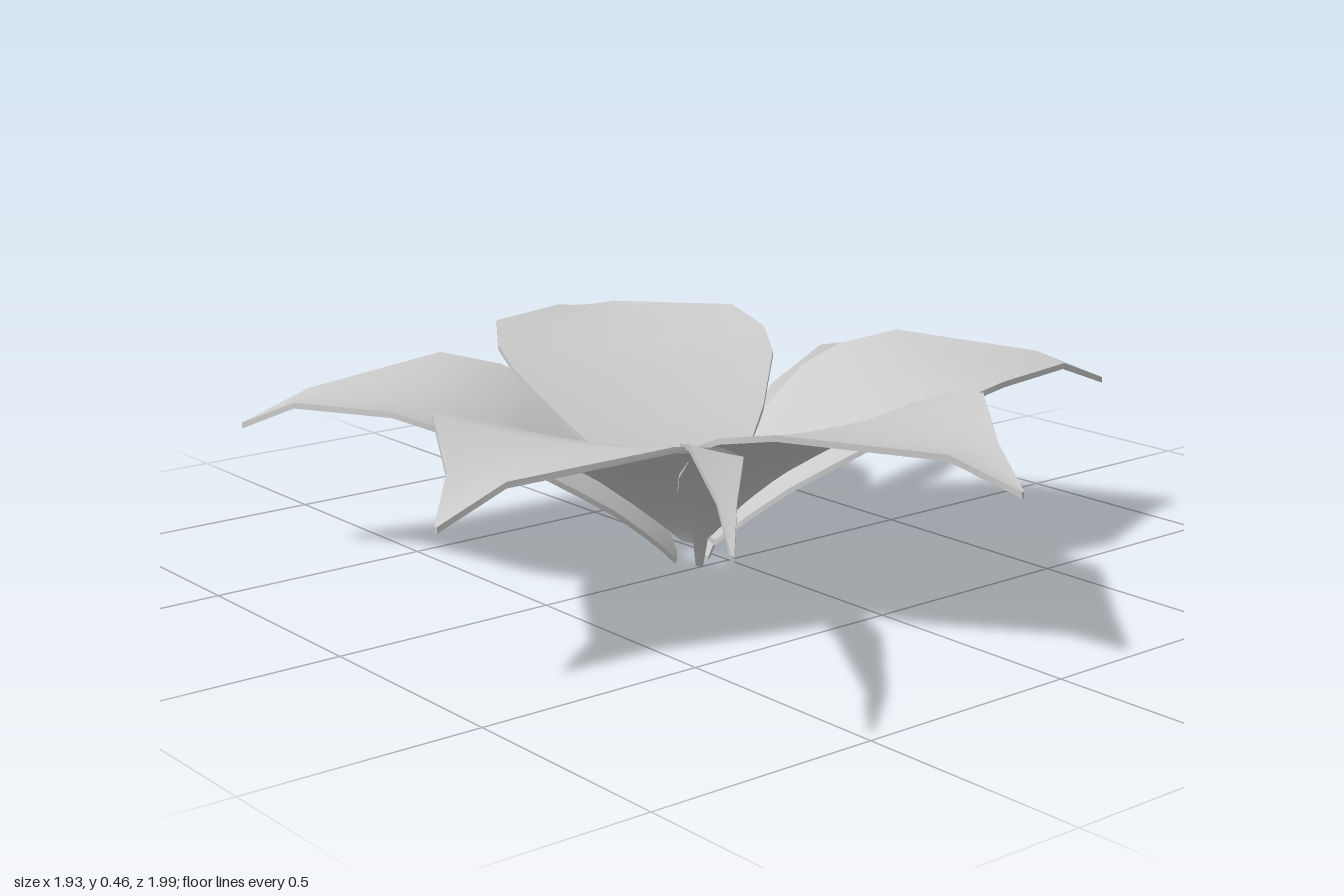
import * as THREE from 'three';

const material = new THREE.MeshStandardMaterial({ color: 0xcccccc, side: THREE.DoubleSide });
const CENTRE = { x: -0.02, z: 0.07 };
const THICKNESS = 0.013;
const COLUMNS = 8;

// Cross-sections along a blade: [fraction of length, half width, height]
const PETAL = [
  [0, 0.025, 0.02], [0.025, 0.075, 0.065], [0.06, 0.115, 0.11], [0.12, 0.17, 0.175], [0.2, 0.225, 0.24],
  [0.35, 0.3, 0.345], [0.45, 0.312, 0.392], [0.59, 0.282, 0.43], [0.86, 0.068, 0.42], [1, 0.003, 0.365],
];
const SEPAL = [
  [0, 0.008, 0.015], [0.06, 0.022, 0.135], [0.2, 0.045, 0.25], [0.37, 0.058, 0.355],
  [0.58, 0.052, 0.415], [0.86, 0.018, 0.375], [1, 0.003, 0.31],
];

// Thin closed blade that runs from the flower's centre to its tip
function blade(sections, { tip: [tx, ty, tz], start = 0.03, lift = 1, baseLift = 0, width = 1, cup = 0.02, tilt = 0 }) {
  const angle = Math.atan2(tz - CENTRE.z, tx - CENTRE.x);
  const dx = Math.cos(angle), dz = Math.sin(angle);
  const length = Math.hypot(tx - CENTRE.x, tz - CENTRE.z) - start;
  const tipShift = ty - sections[sections.length - 1][2] * lift;

  const point = (i, j, drop) => {
    const [t, half, height] = sections[i];
    const u = (j / COLUMNS) * 2 - 1;
    const along = start + t * length, across = u * half * width;
    const bend = Math.max(0, (t - 0.58) / 0.42);
    const y = height * lift + baseLift * (1 - t) ** 2 + tipShift * bend
      + (half / 0.3) * cup * (u * u - 0.5) + across * tilt;
    return [
      CENTRE.x + dx * along - dz * across,
      Math.max(0, y - drop),
      CENTRE.z + dz * along + dx * across,
    ];
  };

  const positions = [], indices = [];
  // Joins rows of points into a strip of quads with its own vertices
  const sheet = (rows, flip) => {
    const first = positions.length / 3, n = rows[0].length;
    rows.forEach(row => row.forEach(p => positions.push(...p)));
    for (let i = 0; i < rows.length - 1; i++) {
      for (let j = 0; j < n - 1; j++) {
        const a = first + i * n + j, b = a + 1, c = a + n, d = c + 1;
        if (flip) indices.push(a, c, b, b, c, d);
        else indices.push(a, b, c, b, d, c);
      }
    }
  };
  const grid = drop => sections.map((_, i) =>
    Array.from({ length: COLUMNS + 1 }, (_, j) => point(i, j, drop)));
  const upper = grid(0), lower = grid(THICKNESS);
  const last = sections.length - 1;

  sheet(upper, false);
  sheet(lower, true);
  // Rim: two long edges and the two ends
  sheet(upper.map((row, i) => [lower[i][0], row[0]]), false);
  sheet(upper.map((row, i) => [row[COLUMNS], lower[i][COLUMNS]]), false);
  sheet([lower[0], upper[0]], false);
  sheet([upper[last], lower[last]], false);

  const geometry = new THREE.BufferGeometry();
  geometry.setAttribute('position', new THREE.Float32BufferAttribute(positions, 3));
  geometry.setIndex(indices);
  geometry.computeVertexNormals();
  return new THREE.Mesh(geometry, material);
}

export function createModel() {
  const flower = new THREE.Group();
  flower.name = 'flower';
  const add = (name, sections, options) => {
    const mesh = blade(sections, options);
    mesh.name = name;
    flower.add(mesh);
  };

  // Five broad petals; the inner ones sit higher at the base than the outer one
  [
    { tip: [0.32, 0.35, -0.86], lift: 0.97, baseLift: 0.04, width: 1.03 },
    { tip: [0.96, 0.38, 0.08], lift: 1.01, baseLift: 0.07, cup: 0.025 },
    { tip: [0.35, 0.345, 0.99], lift: 0.98, baseLift: 0.05, cup: 0.025 },
    { tip: [-0.71, 0.31, 0.81], start: 0.05, lift: 0.93, width: 1.04, cup: 0.025 },
    { tip: [-0.97, 0.37, -0.28], lift: 1.01, baseLift: 0.065, width: 1.05, cup: 0.02 },
  ].forEach((petal, i) => add(`petal${i + 1}`, PETAL, petal));

  // Two narrow sepals showing between the petals
  [
    { tip: [-0.42, 0.275, -1.0], lift: 0.85, cup: 0.01, tilt: -0.25 },
    { tip: [0.96, 0.395, 0.79], lift: 1.08, cup: 0.01, tilt: 0.25 },
  ].forEach((sepal, i) => add(`sepal${i + 1}`, SEPAL, sepal));

  return flower;
}
